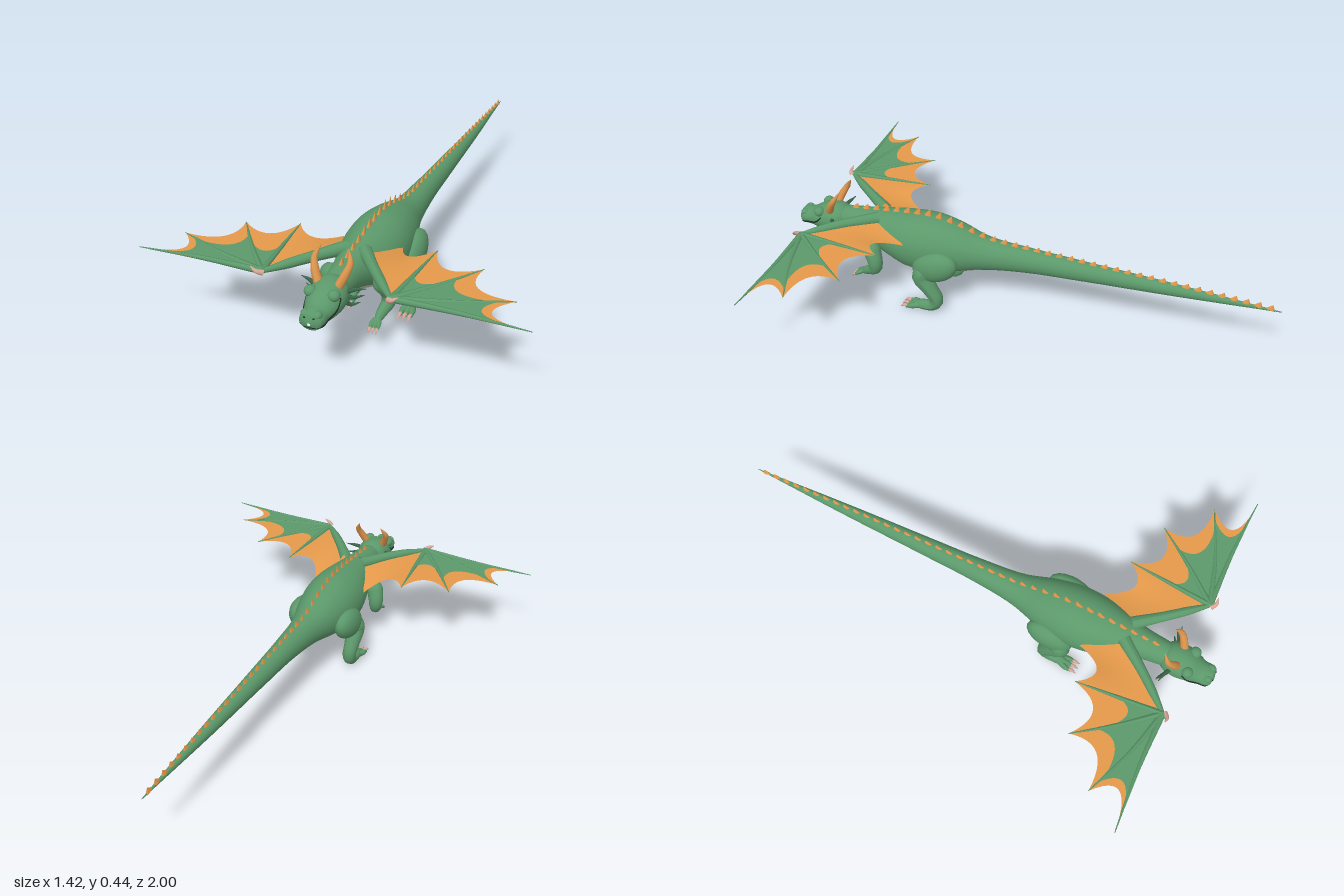
import * as THREE from 'three';

const mat = (name, color, side = THREE.FrontSide) => {
  const m = new THREE.MeshStandardMaterial({ color, side });
  m.name = name;
  return m;
};

export function createModel() {
  const model = new THREE.Group();
  model.name = 'dragon';
  const green = mat('scaleGreen', 0x5b986a, THREE.DoubleSide);
  const orange = mat('membraneOrange', 0xe4994a, THREE.DoubleSide);
  const horn = mat('hornOrange', 0xd8924c);
  const belly = mat('bellyGrey', 0xc8c1b2);
  const dark = mat('frillDarkGreen', 0x3a6348);
  const claw = mat('clawPink', 0xd8a898);
  const black = mat('mouthDark', 0x1d2a22);

  const V = (x, y, z) => new THREE.Vector3(x, y, z);
  const add = (name, geo, material, parent = model) => {
    const m = new THREE.Mesh(geo, material);
    m.name = name;
    parent.add(m);
    return m;
  };

  // Smooth profile along z; rows are [z, bottom, top, halfWidth, belly half angle]
  const profile = rows => {
    const f = new THREE.CubicInterpolant(rows.map(r => r[0]), rows.flatMap(r => r.slice(1)), 4, new Float32Array(4));
    return z => Array.from(f.evaluate(z));
  };

  // Loft of elliptical rings, group 0 is the back and group 1 the underside
  function loft(rows, rings, sides) {
    const at = profile(rows), z0 = rows[0][0], z1 = rows[rows.length - 1][0];
    const pos = [], skin = [], under = [];
    for (let i = 0; i <= rings; i++) {
      const z = z0 + (z1 - z0) * i / rings;
      const [lo, hi, w, angle] = at(z);
      for (let j = 0; j < sides; j++) {
        const a = (j / sides) * Math.PI * 2;
        pos.push(Math.sin(a) * Math.max(w, 0.001), (lo + hi) / 2 - Math.cos(a) * (hi - lo) / 2, z);
        if (i === rings) continue;
        const k = (j + 1) % sides, p = i * sides;
        const mid = (j + 0.5) / sides * Math.PI * 2;
        const list = Math.min(mid, Math.PI * 2 - mid) < angle ? under : skin;
        list.push(p + j, p + k, p + sides + j, p + k, p + sides + k, p + sides + j);
      }
    }
    const g = new THREE.BufferGeometry();
    g.setAttribute('position', new THREE.Float32BufferAttribute(pos, 3));
    g.setIndex([...skin, ...under]);
    g.addGroup(0, skin.length, 0);
    g.addGroup(skin.length, under.length, 1);
    g.computeVertexNormals();
    return g;
  }

  // Tube along a smooth path whose radius follows a list of values
  function limb(points, radii, sides = 12, steps = 20) {
    const curve = new THREE.CatmullRomCurve3(points);
    const g = new THREE.TubeGeometry(curve, steps, 1, sides);
    const p = g.attributes.position, v = V(0, 0, 0);
    for (let i = 0; i <= steps; i++) {
      const t = i / steps * (radii.length - 1), k = Math.min(Math.floor(t), radii.length - 2);
      const r = THREE.MathUtils.lerp(radii[k], radii[k + 1], t - k);
      const c = curve.getPointAt(i / steps);
      for (let j = 0; j <= sides; j++) {
        const n = i * (sides + 1) + j;
        v.fromBufferAttribute(p, n).sub(c).multiplyScalar(r).add(c);
        p.setXYZ(n, v.x, v.y, v.z);
      }
    }
    g.computeVertexNormals();
    return g;
  }

  // Ruled sheet from the edge a0-a1 to a scalloped edge b0-mid-b1
  function sheet(a0, a1, b0, mid, b1, reach = 1, lift = 0) {
    const ctrl = mid.clone().multiplyScalar(2).sub(b0.clone().add(b1).multiplyScalar(0.5));
    const edge = new THREE.QuadraticBezierCurve3(b0, ctrl, b1);
    const g = new THREE.PlaneGeometry(1, 1, 12, 4), p = g.attributes.position;
    for (let i = 0; i < p.count; i++) {
      const u = p.getX(i) + 0.5, v = (0.5 - p.getY(i)) * reach;
      const q = a0.clone().lerp(a1, u).lerp(edge.getPoint(u), v);
      p.setXYZ(i, q.x, q.y + lift, q.z);
    }
    g.computeVertexNormals();
    return g;
  }

  // Body, neck and tail
  const bodyRows = [
    [-1, 0.272, 0.276, 0.001, 0.5], [-0.6, 0.247, 0.297, 0.022, 0.5], [-0.2, 0.226, 0.312, 0.038, 0.6],
    [0, 0.213, 0.32, 0.047, 0.65], [0.18, 0.187, 0.332, 0.066, 0.72], [0.3, 0.155, 0.367, 0.1, 0.8],
    [0.4, 0.135, 0.385, 0.117, 0.85], [0.5, 0.139, 0.381, 0.115, 0.85], [0.6, 0.176, 0.369, 0.09, 0.85],
    [0.7, 0.222, 0.357, 0.06, 0.85], [0.78, 0.238, 0.348, 0.05, 0.85], [0.84, 0.25, 0.335, 0.045, 0.85],
  ];
  add('body', loft(bodyRows, 70, 48), [green, belly]);

  // Head with pale lower jaw
  add('head', loft([
    [0.77, 0.27, 0.31, 0.02, 0.8], [0.795, 0.243, 0.342, 0.051, 0.8], [0.85, 0.227, 0.352, 0.067, 0.9],
    [0.9, 0.228, 0.338, 0.061, 0.9], [0.945, 0.234, 0.312, 0.046, 0.85], [0.98, 0.238, 0.305, 0.042, 0.6],
    [0.995, 0.245, 0.295, 0.03, 0], [1, 0.262, 0.272, 0.006, 0],
  ], 40, 40), [green, belly]);
  add('mouthLine', limb([
    V(-0.06, 0.31, 0.88), V(-0.059, 0.28, 0.91), V(-0.046, 0.264, 0.95), V(-0.038, 0.256, 0.983), V(0, 0.254, 0.996),
    V(0.038, 0.256, 0.983), V(0.046, 0.264, 0.95), V(0.059, 0.28, 0.91), V(0.06, 0.31, 0.88),
  ], [0.003, 0.003], 6, 40), black);

  // Spine spikes
  const top = profile(bodyRows);
  const spikes = new THREE.Group();
  spikes.name = 'spineSpikes';
  model.add(spikes);
  for (let z = 0.74; z > -0.97; z -= 0.046) {
    const h = 0.025 + 0.015 * Math.exp(-(((z - 0.4) / 0.25) ** 2));
    const s = add('spike', new THREE.ConeGeometry(1, 1, 8), orange, spikes);
    s.scale.set(0.007, h, 0.018);
    s.position.set(0, top(z)[1] + h * 0.34, z);
    s.rotation.x = -0.3;
  }

  for (const s of [1, -1]) {
    const P = (x, y, z) => V(s * x, y, z);
    const side = new THREE.Group();
    side.name = s > 0 ? 'leftSide' : 'rightSide';
    model.add(side);
    const part = (name, geo, m) => add(name, geo, m, side);
    const ball = (name, m, x, y, z, sx, sy, sz, rx = 0) => {
      const b = part(name, new THREE.SphereGeometry(1, 20, 14), m);
      b.position.copy(P(x, y, z));
      b.scale.set(sx, sy, sz);
      b.rotation.x = rx;
    };

    // Face
    ball('eyelid', green, 0.043, 0.325, 0.895, 0.022, 0.02, 0.022);
    ball('nostril', black, 0.017, 0.289, 0.994, 0.004, 0.003, 0.004);
    ball('nostrilBump', green, 0.022, 0.293, 0.975, 0.016, 0.014, 0.018);
    part('horn', limb([P(0.036, 0.33, 0.85), P(0.055, 0.37, 0.833), P(0.065, 0.405, 0.812), P(0.05, 0.445, 0.787)],
      [0.016, 0.015, 0.011, 0.001]), horn);
    for (const [x, y, z] of [[0.12, 0.318, 0.81], [0.108, 0.285, 0.8], [0.093, 0.255, 0.8]]) {
      part('cheekFrill', limb([P(0.05, y * 0.5 + 0.145, 0.835), P(x * 0.7, y - 0.004, 0.82), P(x, y, z)],
        [0.009, 0.007, 0.001], 8, 8), dark);
    }

    // Hind leg
    ball('thigh', green, 0.106, 0.217, 0.36, 0.046, 0.066, 0.1, 0.35);
    part('hindLeg', limb([P(0.105, 0.22, 0.38), P(0.115, 0.17, 0.415), P(0.12, 0.115, 0.38), P(0.12, 0.06, 0.352),
      P(0.12, 0.03, 0.372), P(0.12, 0.022, 0.44), P(0.12, 0.016, 0.47)],
      [0.025, 0.043, 0.037, 0.031, 0.028, 0.023, 0.022, 0.005]), green);
    for (const d of [-1, 0, 1]) {
      const x = 0.12 + d * 0.02;
      part('hindToe', limb([P(0.12 + d * 0.01, 0.022, 0.43), P(x, 0.017, 0.462), P(x, 0.011, 0.484)],
        [0.013, 0.012, 0.007], 8, 8), green);
      part('hindClaw', limb([P(x, 0.014, 0.476), P(x, 0.016, 0.491), P(x + d * 0.002, 0.004, 0.508)],
        [0.008, 0.006, 0.001], 6, 6), claw);
    }

    // Front leg
    part('frontLeg', limb([P(0.075, 0.27, 0.64), P(0.102, 0.235, 0.635), P(0.118, 0.19, 0.618), P(0.116, 0.155, 0.622),
      P(0.106, 0.13, 0.66), P(0.1, 0.108, 0.7)],
      [0.012, 0.037, 0.033, 0.029, 0.023, 0.018, 0.008]), green);
    for (const d of [-1, 0, 1]) {
      const x = 0.1 + d * 0.014;
      part('frontToe', limb([P(0.1 + d * 0.006, 0.116, 0.688), P(x, 0.107, 0.707), P(x, 0.097, 0.72)],
        [0.011, 0.009, 0.005], 8, 8), green);
      part('frontClaw', limb([P(x, 0.1, 0.713), P(x, 0.097, 0.726), P(x, 0.085, 0.734)],
        [0.006, 0.005, 0.001], 6, 6), claw);
    }

    // Wing bones
    const shoulder = P(0.035, 0.348, 0.63), wrist = P(0.235, 0.344, 0.872), root = P(0.116, 0.3, 0.485);
    const tips = [P(0.71, 0.344, 0.885), P(0.615, 0.344, 0.74), P(0.455, 0.344, 0.59), P(0.265, 0.344, 0.53)];
    const dips = [P(0.565, 0.344, 0.84), P(0.475, 0.344, 0.71), P(0.335, 0.344, 0.635)];
    part('wingArm', limb([shoulder, P(0.13, 0.35, 0.752), wrist, P(0.25, 0.344, 0.885)], [0.026, 0.02, 0.017, 0.006]), green);
    for (const [i, tip] of tips.entries()) {
      const bend = wrist.clone().lerp(tip, 0.5);
      bend.z += [-0.008, 0.012, 0.01, 0][i];
      part('wingFinger', limb([wrist, bend, tip], [0.012, 0.008, 0.0015], 8), green);
    }
    part('wingClaw', limb([P(0.228, 0.342, 0.878), P(0.246, 0.352, 0.892), P(0.268, 0.367, 0.89)],
      [0.011, 0.008, 0.001], 8, 8), claw);

    // Wing membranes, with green sheets over the inner part of the outer panels
    part('innerMembrane', sheet(shoulder, wrist, root, P(0.185, 0.333, 0.585), tips[3]), orange);
    for (let i = 0; i < 3; i++) {
      part('membrane', sheet(wrist, wrist, tips[i], dips[i], tips[i + 1]), orange);
      part('membraneCover', sheet(wrist, wrist, tips[i], dips[i], tips[i + 1], [0.9, 0.74, 0.5][i], 0.003), green);
    }
  }
  return model;
}
